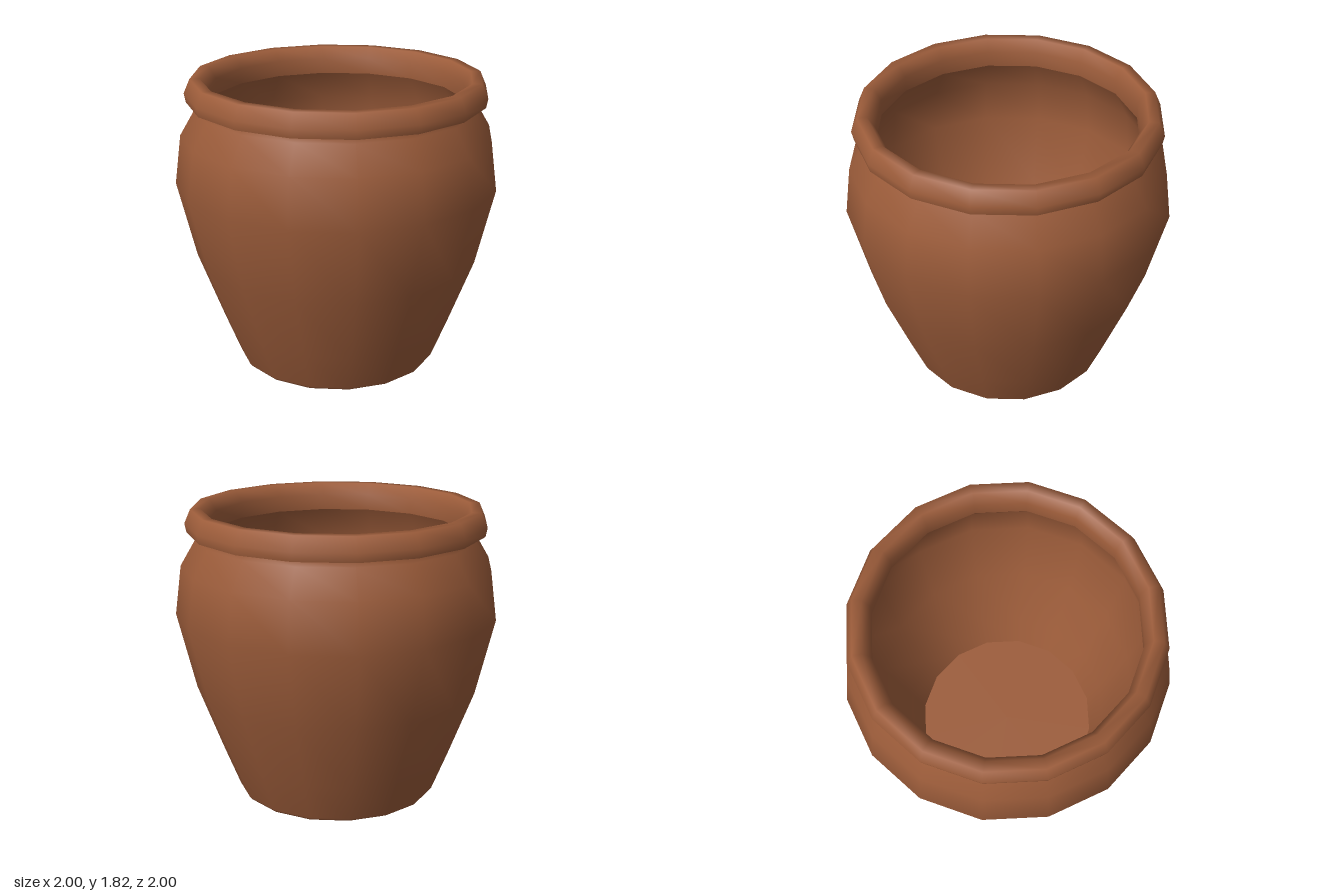
import * as THREE from 'three';

const SIDES = 16;

export function createModel() {
  const pot = new THREE.Group();
  pot.name = 'pot';
  const terracotta = new THREE.MeshStandardMaterial({ color: 0x9c5c3a });
  terracotta.name = 'terracotta';

  // Turns a [radius, height] profile; smooth within a part, sharp between parts
  const turn = (name, profile) => {
    const points = profile.map(([r, y]) => new THREE.Vector2(r, y));
    const mesh = new THREE.Mesh(new THREE.LatheGeometry(points, SIDES), terracotta);
    mesh.name = name;
    pot.add(mesh);
  };

  // Flat underside
  turn('base', [[0, 0], [0.61, 0]]);

  // Outer wall, from the bevelled foot up to the neck
  turn('outerWall', [
    [0.61, 0], [0.628, 0.02], [0.725, 0.265], [0.885, 0.69],
    [1.0, 1.17], [0.96, 1.475], [0.863, 1.64], [0.857, 1.68],
  ]);

  // Flat ledge beneath the lip
  turn('rimUnderside', [[0.857, 1.68], [0.917, 1.68]]);

  // Rolled lip
  turn('rim', [
    [0.917, 1.68], [0.928, 1.735], [0.89, 1.822], [0.83, 1.822],
    [0.787, 1.75], [0.79, 1.65],
  ]);

  // Hollow inside, following the outer wall
  turn('innerWall', [
    [0.79, 1.65], [0.89, 1.46], [0.925, 1.17],
    [0.815, 0.71], [0.655, 0.28], [0.58, 0.07],
  ]);

  // Floor of the hollow
  turn('floor', [[0.58, 0.07], [0, 0.07]]);

  // Centre the standing height on the ground plane
  return pot;
}
